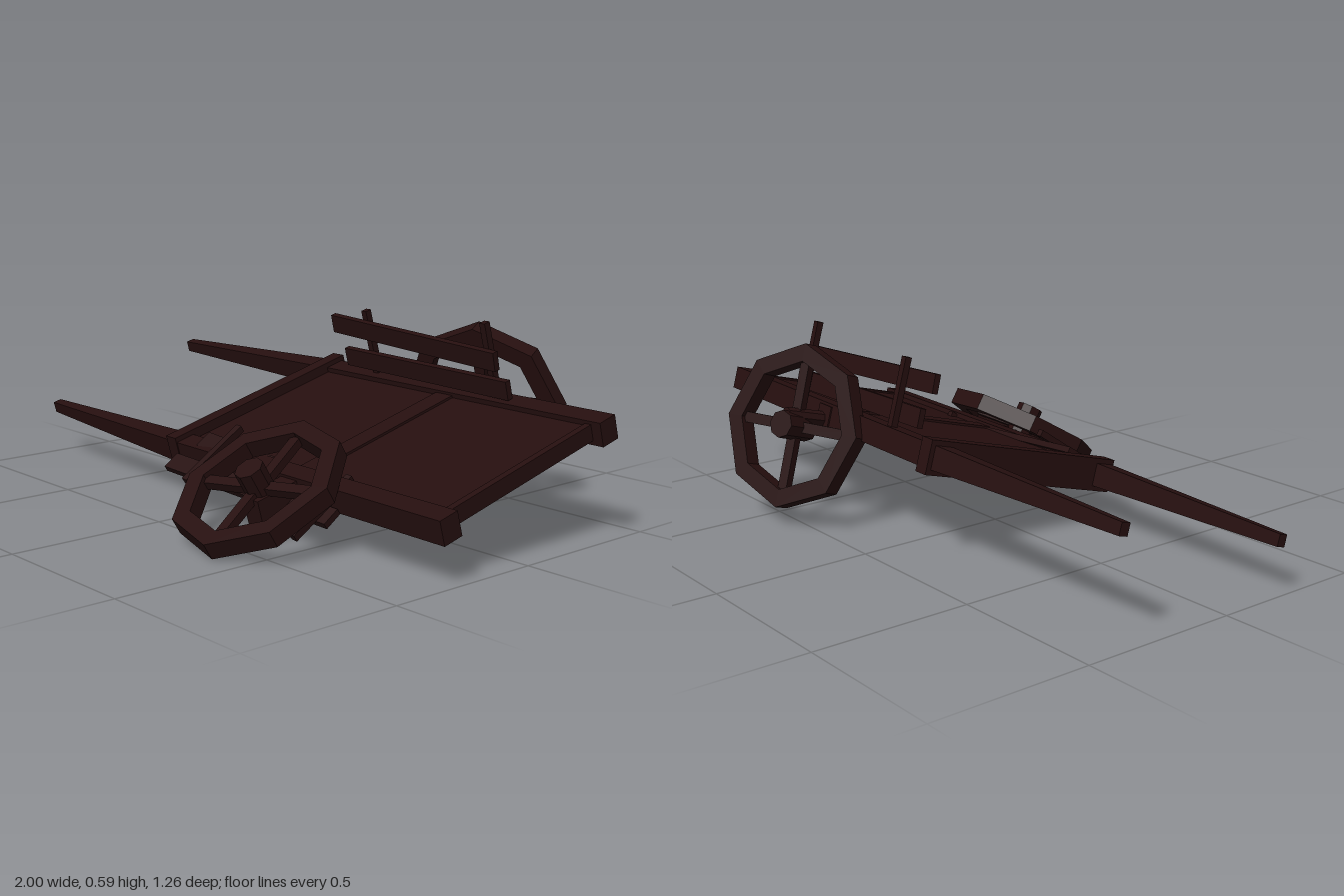
import * as THREE from 'three';

const wood = new THREE.MeshStandardMaterial({ color: 0x260f0f });
wood.name = 'darkWood';

function add(parent, name, geometry, x = 0, y = 0, z = 0, rz = 0) {
  const g = geometry.index ? geometry.toNonIndexed() : geometry;
  g.computeVertexNormals(); // faceted look
  const m = new THREE.Mesh(g, wood);
  m.name = name;
  m.position.set(x, y, z);
  m.rotation.z = rz;
  parent.add(m);
  return m;
}

const box = (w, h, d) => new THREE.BoxGeometry(w, h, d);

// Group placed at an origin, with its x axis and an approximate z axis given
function frame(name, origin, xDir, zDir) {
  const g = new THREE.Group();
  g.name = name;
  const X = new THREE.Vector3(...xDir).normalize();
  const Y = new THREE.Vector3(...zDir).cross(X).normalize();
  const Z = X.clone().cross(Y);
  g.quaternion.setFromRotationMatrix(new THREE.Matrix4().makeBasis(X, Y, Z));
  g.position.set(...origin);
  return g;
}

// Shaft: a box narrowed and shifted inwards at its -x end
function shaftGeometry(side) {
  const g = box(0.8, 0.074, 0.066);
  const p = g.attributes.position;
  for (let i = 0; i < p.count; i++) {
    if (p.getX(i) > 0) continue;
    p.setY(i, p.getY(i) * 0.5 + 0.006);
    p.setZ(i, p.getZ(i) * 0.45 - side * 0.016);
  }
  return g;
}

// Two posts with two crooked slats
function fillFence(g) {
  [[0, 0.13], [0.525, 0.15]].forEach(([x, y]) =>
    add(g, 'fencePost', box(0.022, 0.245, 0.022), x, y, 0));
  add(g, 'upperSlat', box(0.715, 0.06, 0.02), 0.21, 0.18, 0.02, -0.055);
  add(g, 'lowerSlat', box(0.71, 0.06, 0.02), 0.245, 0.08, 0.02, -0.02);
}

// Eight-sided wheel facing its own z axis
function fillWheel(g, phase) {
  const R = 0.262, r = 0.205, t = 0.055;
  const ring = (Path, radius) => new Path(Array.from({ length: 8 }, (_, i) => {
    const a = i * Math.PI / 4;
    return new THREE.Vector2(radius * Math.cos(a), radius * Math.sin(a));
  }));
  const shape = ring(THREE.Shape, R);
  shape.holes.push(ring(THREE.Path, r));
  const spin = new THREE.Group();
  spin.name = 'wheelParts';
  spin.rotation.z = phase;
  g.add(spin);
  const rim = new THREE.ExtrudeGeometry(shape, { depth: t, bevelEnabled: false });
  add(spin, 'rim', rim.translate(0, 0, -t / 2));
  add(spin, 'hub', new THREE.CylinderGeometry(0.044, 0.044, 0.13, 8).rotateX(Math.PI / 2), 0, 0, 0.01);
  for (let i = 0; i < 4; i++) {
    const a = i * Math.PI / 2;
    add(spin, 'spoke', box(0.19, 0.034, 0.026), 0.125 * Math.cos(a), 0.125 * Math.sin(a), 0, a);
  }
}

export function createModel() {
  const model = new THREE.Group();
  model.name = 'brokenCart';

  // Tilted cart body
  const cart = frame('cartBody', [0.4, 0.243, -0.04], [1, 0, 0.028], [-0.027, -0.265, 0.965]);
  model.add(cart);
  for (const side of [-1, 1]) {
    add(cart, 'sideRail', box(1.19, 0.074, 0.066), -0.005, 0, side * 0.322);
    add(cart, 'shaft', shaftGeometry(side), -0.99, 0, side * 0.32);
  }
  add(cart, 'bedFloor', box(1.14, 0.03, 0.6), -0.025, 0.006, 0);
  add(cart, 'frontCrossbar', box(0.05, 0.105, 0.725), -0.595, 0, -0.005);
  add(cart, 'rearLip', box(0.022, 0.05, 0.6), 0.545, 0.002, 0);

  // Axle beam and rear stub
  add(cart, 'axleBeam', box(0.07, 0.085, 0.86), -0.02, -0.014, 0.07);
  add(cart, 'axleStub', new THREE.CylinderGeometry(0.026, 0.026, 0.16, 8).rotateX(Math.PI / 2),
    -0.01, -0.02, -0.41);

  // Standing fence on the far rail
  const standing = new THREE.Group();
  standing.name = 'standingFence';
  standing.position.set(-0.36, 0, -0.33);
  fillFence(standing);
  cart.add(standing);

  // Collapsed fence hanging over the near rail
  const fallen = frame('fallenFence', [0.02, 0.256, 0.195], [1, -0.08, 0.02], [0, -0.82, -0.57]);
  fillFence(fallen);
  model.add(fallen);

  // Fallen near wheel and leaning far wheel
  const nearWheel = frame('nearWheel', [0.355, 0.163, 0.405], [1, 0, 0], [0, 0.85, 0.525]);
  fillWheel(nearWheel, 0.166);
  model.add(nearWheel);
  const farWheel = frame('farWheel', [0.405, 0.31, -0.482], [-0.95, 0, 0.31], [-0.29, 0.33, -0.9]);
  fillWheel(farWheel, 0);
  model.add(farWheel);

  return model;
}
